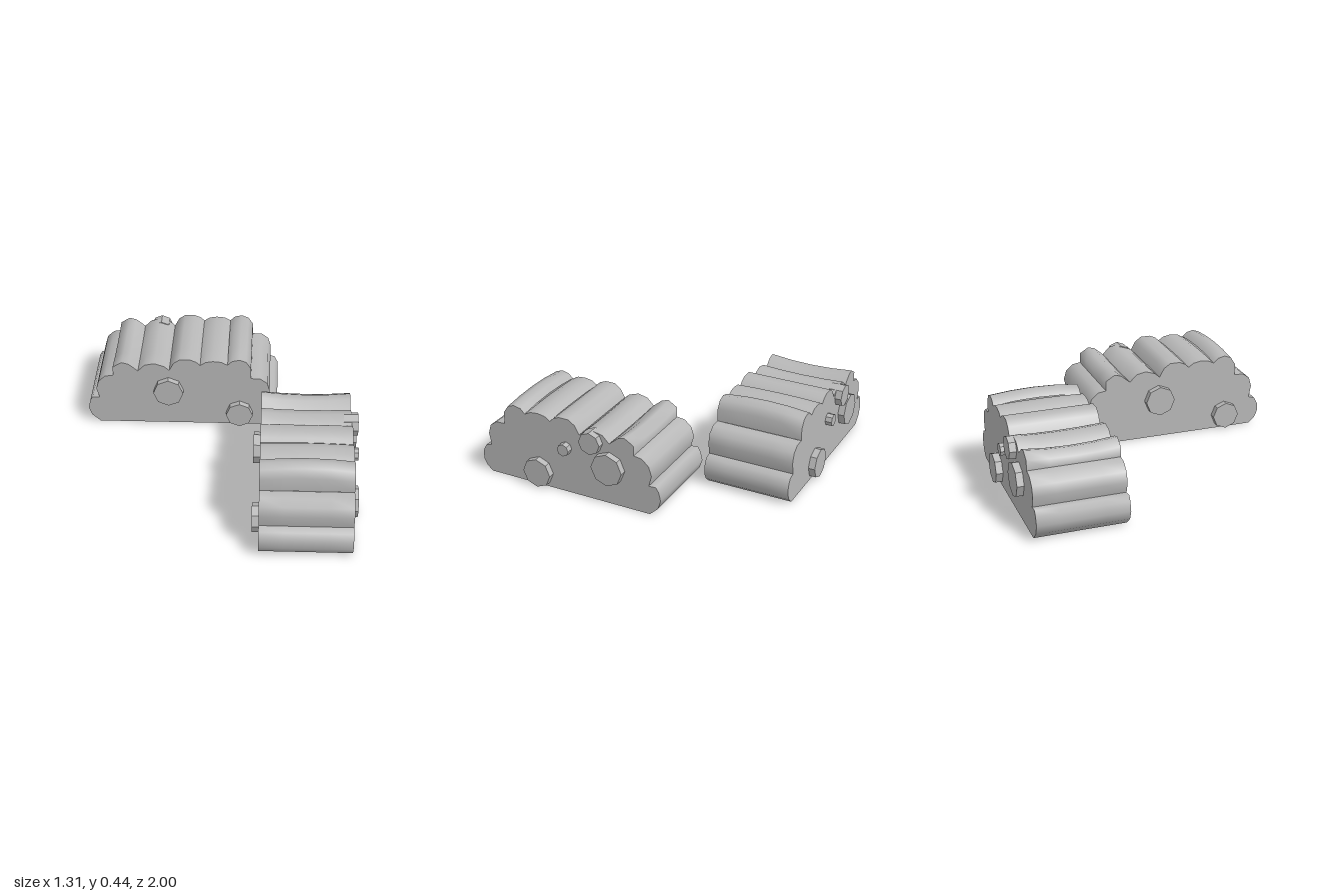
import * as THREE from 'three';

const stone = new THREE.MeshStandardMaterial({ color: 0xb8b8b8, side: THREE.DoubleSide });
stone.name = 'plain grey';

const HALF = 0.233; // half the length of a log

// Cross-section of the stack: one arc of points per log, joined at the notches
const LOGS = [
  [[-0.467, 0], [-0.512, 0.042], [-0.528, 0.09], [-0.517, 0.137], [-0.502, 0.162], [-0.462, 0.16]],
  [[-0.462, 0.16], [-0.478, 0.218], [-0.463, 0.268], [-0.425, 0.303], [-0.38, 0.31]],
  [[-0.38, 0.31], [-0.38, 0.363], [-0.33, 0.394], [-0.292, 0.384], [-0.242, 0.342]],
  [[-0.242, 0.342], [-0.204, 0.38], [-0.151, 0.391], [-0.097, 0.373], [-0.07, 0.349]],
  [[-0.07, 0.349], [-0.045, 0.395], [-0.009, 0.42], [0.045, 0.42], [0.08, 0.405], [0.1, 0.385]],
  [[0.1, 0.385], [0.13, 0.405], [0.17, 0.412], [0.215, 0.408], [0.25, 0.39]],
  [[0.25, 0.39], [0.275, 0.415], [0.315, 0.424], [0.352, 0.41], [0.378, 0.37], [0.378, 0.305]],
  [[0.378, 0.305], [0.43, 0.303], [0.468, 0.275], [0.482, 0.225], [0.47, 0.16]],
  [[0.47, 0.16], [0.506, 0.148], [0.525, 0.11], [0.525, 0.065], [0.507, 0.028], [0.475, 0]],
];

// Shell of one log, smooth along its arc; the middle is lifted or sagged
function logShell(points, lift) {
  const rows = [-1, -0.5, 0, 0.5, 1];
  const pos = [], index = [], n = points.length;
  for (const t of rows) {
    for (const [x, y] of points) {
      pos.push(x, y + lift * (1 - t * t) * Math.min(1, Math.max(0, (y - 0.3) / 0.08)), t * HALF);
    }
  }
  for (let r = 0; r < rows.length - 1; r++) {
    for (let i = 0; i < n - 1; i++) {
      const a = r * n + i, b = a + 1, c = a + n, d = c + 1;
      index.push(a, c, b, b, c, d);
    }
  }
  const g = new THREE.BufferGeometry();
  g.setAttribute('position', new THREE.Float32BufferAttribute(pos, 3));
  g.setIndex(index);
  g.computeVertexNormals();
  return g;
}

// Cut branch stubs through the end walls: position along the wall, height, radius, wall side
const STUBS = [
  [-0.24, 0.207, 0.088, -1],
  [-0.145, 0.333, 0.06, -1],
  [0.01, 0.257, 0.033, -1],
  [0.175, 0.082, 0.08, -1],
  [-0.076, 0.22, 0.082, 1],
  [0.316, 0.08, 0.074, 1],
];

function add(group, geometry, name) {
  const mesh = new THREE.Mesh(geometry, stone);
  mesh.name = name;
  group.add(mesh);
  return mesh;
}

function logPile(name) {
  const pile = new THREE.Group();
  pile.name = name;

  // Rounded outer logs, open underneath
  const lifts = [0, 0, -0.015, -0.008, 0, 0.006, 0.015, 0, 0];
  LOGS.forEach((points, i) => add(pile, logShell(points, lifts[i]), 'log' + (i + 1)));

  // Flat end walls
  const outline = new THREE.Shape(LOGS.flatMap((points, i) =>
    points.slice(i ? 1 : 0).map(([x, y]) => new THREE.Vector2(x, y))));
  for (const side of [-1, 1]) {
    const wall = new THREE.ShapeGeometry(outline);
    if (side < 0) {
      // mirror, then turn, so the wall faces outward
      wall.scale(-1, 1, 1);
      wall.rotateY(Math.PI);
      const idx = wall.index.array;
      for (let i = 0; i < idx.length; i += 3) [idx[i], idx[i + 1]] = [idx[i + 1], idx[i]];
      wall.computeVertexNormals();
    }
    wall.translate(0, 0, side * HALF);
    add(pile, wall, side > 0 ? 'frontWall' : 'backWall');
  }

  // Eight-sided stubs
  STUBS.forEach(([x, y, r, side], i) => {
    const g = new THREE.CylinderGeometry(r, r, 0.075, 8).toNonIndexed();
    g.computeVertexNormals();
    g.rotateX(Math.PI / 2);
    g.translate(x, y, side * (HALF - 0.002));
    add(pile, g, 'stub' + (i + 1));
  });
  return pile;
}

export function createModel() {
  const model = new THREE.Group();
  model.name = 'logPiles';

  const back = logPile('backPile');
  back.position.set(-0.085, 0, -0.59);
  back.rotation.y = -0.385;

  const front = logPile('frontPile');
  front.position.set(0.2325, 0, 0.4175);
  front.rotation.y = -0.385 - Math.PI / 2;

  model.add(back, front);
  return model;
}
